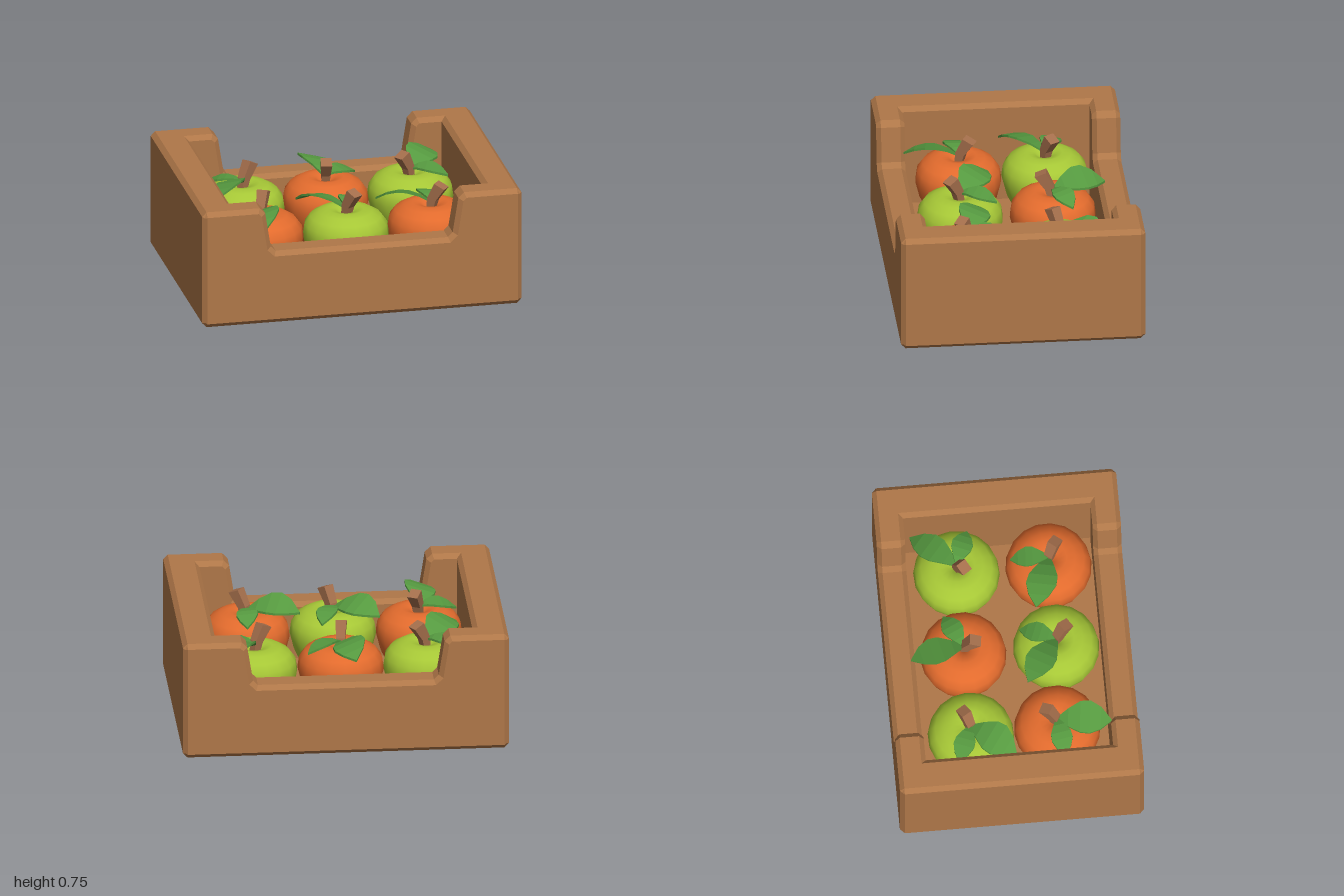
import * as THREE from 'three';

const mat = (name, color) => {
  const m = new THREE.MeshStandardMaterial({ color });
  m.name = name;
  return m;
};

const BEVEL = 0.028;

// Wall with chamfered edges: a closed profile extruded to an exact thickness, centred on its depth
function wallGeometry(points, thickness) {
  const shape = new THREE.Shape(points.map(([x, y]) => new THREE.Vector2(x, y)));
  const g = new THREE.ExtrudeGeometry(shape, {
    depth: thickness - 2 * BEVEL, bevelEnabled: true, bevelSegments: 1,
    bevelSize: BEVEL, bevelThickness: BEVEL, bevelOffset: -BEVEL,
  });
  return g.translate(0, 0, -thickness / 2 + BEVEL);
}

// Half profile mirrored across x = 0
const mirrored = (half) => [...half, ...half.map(([x, y]) => [-x, y]).reverse()];

// Arched pointed leaf along +x, made of four-cornered cross-sections
function leafGeometry(length, width, base, rise, tip, roll) {
  const stations = [[0, 0.12], [0.2, 0.55], [0.42, 0.95], [0.6, 1], [0.8, 0.68], [1, 0.02]];
  const pos = [], idx = [], t = 0.014;
  for (const [u, w] of stations) {
    const y = base + (tip - base) * u + rise * 4 * u * (1 - u);
    const z = (w * width) / 2, lift = z * Math.tan(roll);
    pos.push(u * length, y + lift, -z, u * length, y - lift, z,
      u * length, y - lift - t, z, u * length, y + lift - t, -z);
  }
  const last = (stations.length - 1) * 4;
  for (let s = 0; s < last; s += 4) {
    for (let k = 0; k < 4; k++) {
      const a = s + k, b = s + ((k + 1) % 4);
      idx.push(a, b, a + 4, b, b + 4, a + 4);
    }
  }
  idx.push(0, 2, 1, 0, 3, 2, last, last + 1, last + 2, last, last + 2, last + 3);
  const g = new THREE.BufferGeometry();
  g.setAttribute('position', new THREE.Float32BufferAttribute(pos, 3));
  g.setIndex(idx);
  const flat = g.toNonIndexed();
  flat.computeVertexNormals();
  return flat;
}

// Square stem, wider at the top and leaning towards +x
function stemGeometry() {
  const g = new THREE.BoxGeometry(1, 0.2, 1, 1, 2, 1);
  const p = g.attributes.position;
  for (let i = 0; i < p.count; i++) {
    const u = p.getY(i) / 0.2 + 0.5;
    const w = 0.042 + 0.026 * u;
    p.setXYZ(i, p.getX(i) * w + 0.075 * u * u,
      0.47 + 0.19 * u - p.getX(i) * 0.03 * u, p.getZ(i) * w);
  }
  const flat = g.toNonIndexed();
  flat.computeVertexNormals();
  return flat;
}

export function createModel() {
  const wood = mat('crate wood', 0xaf7748);
  const green = mat('green skin', 0xa6c736);
  const orange = mat('orange skin', 0xe26b2d);
  const leafMat = mat('leaf green', 0x569a40);
  const stemMat = mat('stem brown', 0xa56f4c);

  const model = new THREE.Group();
  model.name = 'fruitCrate';
  const add = (parent, name, geometry, material) => {
    const m = new THREE.Mesh(geometry, material);
    m.name = name;
    parent.add(m);
    return m;
  };

  // Crate: notched long walls, plain end walls, floor
  const crate = new THREE.Group();
  crate.name = 'crate';
  model.add(crate);
  const longWall = wallGeometry(mirrored([
    [-0.54, 0.465], [-0.57, 0.495], [-0.605, 0.715], [-0.64, 0.75],
    [-0.972, 0.75], [-1, 0.722], [-1, 0.028], [-0.972, 0],
  ]), 0.175);
  const endWall = wallGeometry(mirrored([
    [-0.722, 0.75], [-0.75, 0.722], [-0.75, 0.028], [-0.722, 0],
  ]), 0.21);
  for (const s of [1, -1]) {
    add(crate, s > 0 ? 'frontWall' : 'backWall', longWall, wood).position.z = s * 0.6625;
    const end = add(crate, s > 0 ? 'leftWall' : 'rightWall', endWall, wood);
    end.position.x = s * 0.895;
    end.rotation.y = Math.PI / 2;
  }
  add(crate, 'floor', new THREE.BoxGeometry(1.9, 0.1, 1.4), wood).position.y = 0.05;

  // Shared fruit parts
  const profile = [[0, 0.13], [0.06, 0.1], [0.12, 0.11], [0.19, 0.18], [0.24, 0.28], [0.265, 0.38],
    [0.255, 0.45], [0.22, 0.498], [0.165, 0.53], [0.11, 0.542], [0.06, 0.53], [0.025, 0.5], [0, 0.48]];
  const body = new THREE.LatheGeometry(profile.map(([r, y]) => new THREE.Vector2(r, y)), 18);
  const stem = stemGeometry();
  const bigLeaf = leafGeometry(0.335, 0.19, 0.55, 0.055, 0.56, 0.32);
  const smallLeaf = leafGeometry(0.235, 0.13, 0.56, 0.035, 0.525, 0.1);

  // Six fruits: x, z, skin, bearing of the large leaf in degrees
  const fruits = [
    [-0.53, -0.275, green, 128], [-0.005, -0.275, orange, -102], [0.525, -0.27, green, -54],
    [-0.53, 0.255, orange, 97], [-0.005, 0.295, green, -144], [0.525, 0.295, orange, -162],
  ];
  const rad = THREE.MathUtils.degToRad;
  fruits.forEach(([x, z, skin, bearing], i) => {
    const fruit = new THREE.Group();
    fruit.name = `fruit${i + 1}`;
    fruit.position.set(x, 0, z);
    fruit.rotation.y = -rad(bearing);
    model.add(fruit);
    add(fruit, 'fruitBody', body, skin);
    add(fruit, 'largeLeaf', bigLeaf, leafMat);
    add(fruit, 'smallLeaf', smallLeaf, leafMat).rotation.y = -rad(75);
    add(fruit, 'stem', stem, stemMat).rotation.y = -rad(200);
  });
  return model;
}
